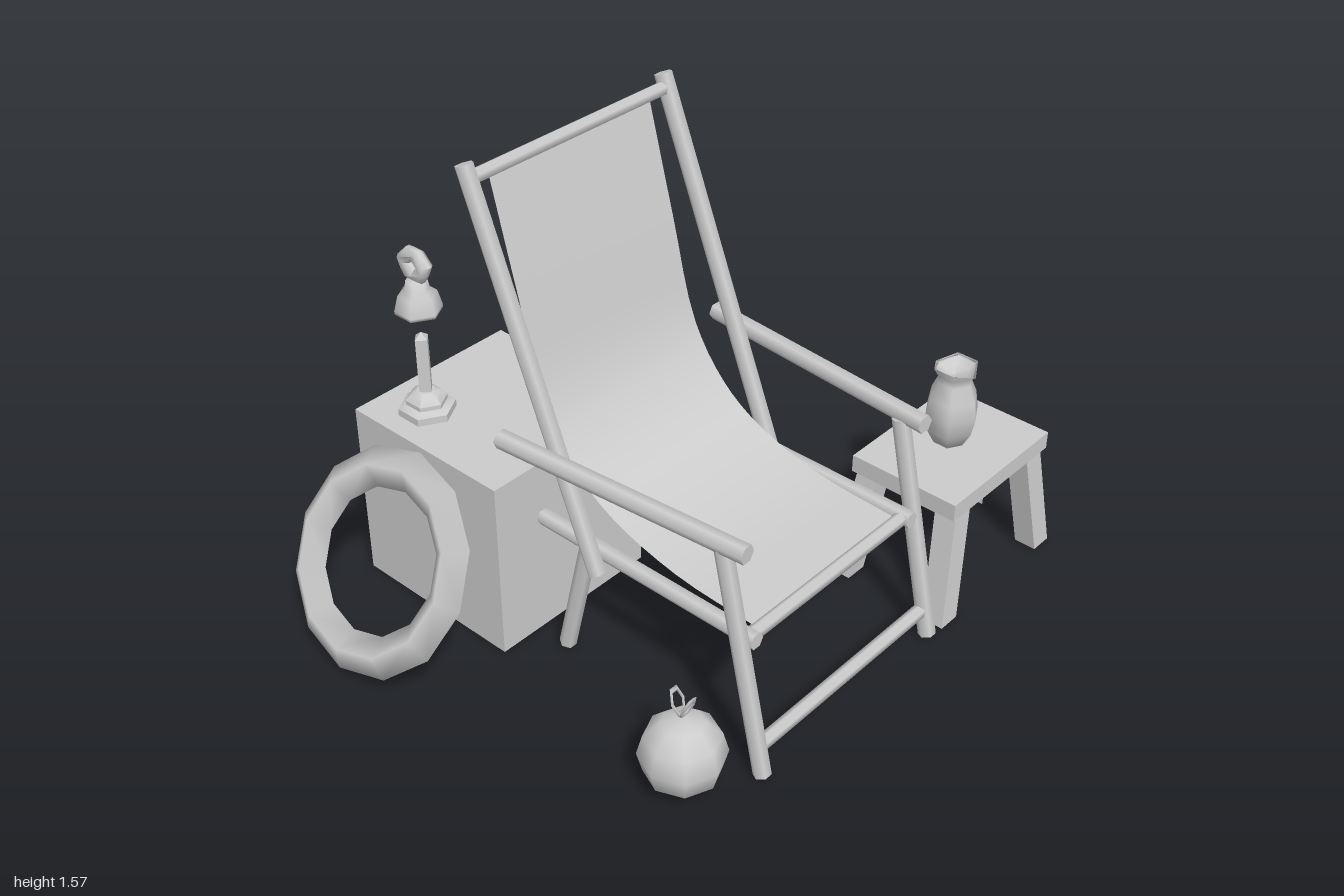
import * as THREE from 'three';
import { toCreasedNormals } from 'three/addons/utils/BufferGeometryUtils.js';

const grey = new THREE.MeshStandardMaterial({ color: 0xcccccc });
grey.name = 'light grey';
const greySheet = new THREE.MeshStandardMaterial({ color: 0xcccccc, side: THREE.DoubleSide });
greySheet.name = 'light grey sheet';

const V = (x, y, z) => new THREE.Vector3(x, y, z);

function add(parent, name, geometry, x = 0, y = 0, z = 0, material = grey) {
  const mesh = new THREE.Mesh(geometry, material);
  mesh.name = name;
  mesh.position.set(x, y, z);
  parent.add(mesh);
  return mesh;
}

function group(parent, name, x = 0, y = 0, z = 0) {
  const g = new THREE.Group();
  g.name = name;
  g.position.set(x, y, z);
  parent.add(g);
  return g;
}

// Six-sided pole between two points
function rod(parent, name, a, b, r) {
  const dir = b.clone().sub(a);
  const mesh = add(parent, name, new THREE.CylinderGeometry(r, r, dir.length(), 6));
  mesh.position.copy(a).add(b).multiplyScalar(0.5);
  mesh.quaternion.setFromUnitVectors(V(0, 1, 0), dir.normalize());
}

// Six-sided turned shape with corners on the x axis
function turned(profile) {
  return new THREE.LatheGeometry(profile.map(([r, y]) => new THREE.Vector2(r, y)), 6, Math.PI / 6);
}

function buildChair(root) {
  const chair = group(root, 'deckChair', 0, 0, 0.055);
  for (const s of [1, -1]) {
    rod(chair, 'backPole', V(-0.335, 1.56, s * 0.4), V(0.13, 0.39, s * 0.4), 0.029);
    rod(chair, 'armrest', V(-0.175, 0.765, s * 0.473), V(0.69, 0.765, s * 0.4), 0.03);
    rod(chair, 'frontLeg', V(0.605, 0.75, s * 0.4), V(0.768, 0.01, s * 0.4), 0.028);
    rod(chair, 'seatRail', V(-0.13, 0.442, s * 0.36), V(0.7, 0.442, s * 0.36), 0.027);
    rod(chair, 'rearLeg', V(0.07, 0.43, s * 0.375), V(-0.03, 0.012, s * 0.375), 0.027);
  }
  rod(chair, 'topBar', V(-0.32, 1.52, -0.4), V(-0.32, 1.52, 0.4), 0.023);
  rod(chair, 'seatBar', V(0.67, 0.442, -0.36), V(0.67, 0.442, 0.36), 0.023);
  rod(chair, 'footBar', V(0.745, 0.1, -0.4), V(0.745, 0.1, 0.4), 0.023);

  // Hanging fabric: a strip bent along a curve
  const curve = new THREE.CatmullRomCurve3([
    V(-0.32, 1.51, 0), V(-0.225, 1.15, 0), V(-0.13, 0.81, 0), V(-0.01, 0.64, 0),
    V(0.13, 0.545, 0), V(0.37, 0.475, 0), V(0.67, 0.455, 0),
  ]);
  const cloth = new THREE.PlaneGeometry(1, 0.65, 24, 1);
  const p = cloth.attributes.position;
  for (let i = 0; i < p.count; i++) {
    const c = curve.getPoint(p.getX(i) + 0.5);
    p.setXYZ(i, c.x, c.y, -p.getY(i));
  }
  cloth.computeVertexNormals();
  add(chair, 'fabricSeat', cloth, 0, 0, 0.002, greySheet);
}

function buildStool(root) {
  const stool = group(root, 'stool', 0.57, 0, -0.698);
  add(stool, 'stoolTop', new THREE.BoxGeometry(0.385, 0.06, 0.515), 0, 0.42, 0);
  for (const sx of [1, -1]) {
    for (const sz of [1, -1]) {
      // Leg sheared outward toward the floor
      const leg = new THREE.BoxGeometry(0.075, 0.385, 0.078);
      const p = leg.attributes.position;
      for (let i = 0; i < p.count; i++) {
        const low = p.getY(i) < 0 ? 1 : 0;
        p.setX(i, p.getX(i) + sx * (0.147 + low * 0.035));
        p.setZ(i, p.getZ(i) + sz * (0.196 + low * 0.068));
      }
      leg.computeVertexNormals();
      add(stool, 'stoolLeg', leg, 0, 0.2, 0);
    }
  }
  // Thin brace under the middle of the top
  add(stool, 'braceBoard', new THREE.PlaneGeometry(0.27, 0.11), 0, 0.335, 0, greySheet);

  // Vase with a wavy rim and a shallow mouth
  const vase = turned([[0, 0], [0.052, 0], [0.078, 0.05], [0.09, 0.11], [0.08, 0.17],
    [0.056, 0.225], [0.057, 0.25], [0.074, 0.28], [0.064, 0.275], [0.045, 0.255], [0, 0.245]]);
  const p = vase.attributes.position;
  for (let i = 0; i < p.count; i++) {
    if (p.getY(i) > 0.26 && Math.abs(p.getX(i)) > 0.05) p.setY(i, p.getY(i) - 0.016);
  }
  add(stool, 'vase', vase, -0.022, 0.45, -0.015, greySheet);
}

function buildCandle(root) {
  const candle = group(root, 'candlestick', -0.6, 0.62, 0.44);
  const crisp = (g) => toCreasedNormals(g, 0.6);
  add(candle, 'candleBase', crisp(turned([[0, 0], [0.09, 0], [0.09, 0.024], [0.065, 0.036],
    [0.065, 0.05], [0.05, 0.068], [0.03, 0.08], [0, 0.08]])));
  add(candle, 'candleStick', crisp(new THREE.CylinderGeometry(0.026, 0.026, 0.19, 4)), 0, 0.17, 0);
  add(candle, 'candleTip', crisp(new THREE.ConeGeometry(0.026, 0.02, 4)), 0, 0.275, 0);

  // Snuffing bell floating over the candle
  const bell = group(candle, 'bell', 0, 0.36, 0);
  add(bell, 'bellCup', turned([[0, 0], [0.073, 0], [0.073, 0.01], [0.06, 0.06],
    [0.038, 0.078], [0.032, 0.11], [0, 0.118]]));
  // Faceted ring handle with a diamond hole
  const outline = new THREE.Shape([[-0.027, -0.042], [0.027, -0.042], [0.044, -0.018], [0.056, 0.01],
    [0.022, 0.043], [-0.022, 0.043], [-0.056, 0.01], [-0.044, -0.018]]
    .map(([x, y]) => new THREE.Vector2(x, y)));
  outline.holes.push(new THREE.Path([[0, 0.032], [0.032, 0], [0, -0.032], [-0.032, 0]]
    .map(([x, y]) => new THREE.Vector2(x, y))));
  const ring = new THREE.ExtrudeGeometry(outline, {
    depth: 0.012, bevelThickness: 0.014, bevelSize: 0.01, bevelSegments: 1,
  });
  add(bell, 'bellHandle', toCreasedNormals(ring, 1), 0, 0.158, -0.006);
}

function buildBall(root) {
  const ball = group(root, 'ornamentBall', 0.63, 0.143, 0.64);
  add(ball, 'ball', new THREE.SphereGeometry(0.13, 8, 6));
  for (const s of [1, -1]) {
    const loop = new THREE.TorusGeometry(0.022, 0.005, 4, 6);
    loop.rotateY(Math.PI / 2).scale(1, 1.9, 1);
    add(ball, 'ballLoop', loop, s * 0.019, 0.18, 0).rotation.z = -s * 0.4;
  }
}

export function createModel() {
  const root = new THREE.Group();
  root.name = 'beachSet';

  // Large crate
  add(root, 'crate', new THREE.BoxGeometry(0.62, 0.62, 0.615), -0.46, 0.31, 0.278);
  // Swim ring with a flattened diamond section, leaning back
  const swimRing = new THREE.TorusGeometry(0.289, 0.064, 4, 12).scale(1, 1, 0.8);
  add(root, 'swimRing', swimRing, -0.442, 0.33, 0.8).rotation.x = -0.57;

  buildChair(root);
  buildStool(root);
  buildCandle(root);
  buildBall(root);
  return root;
}
